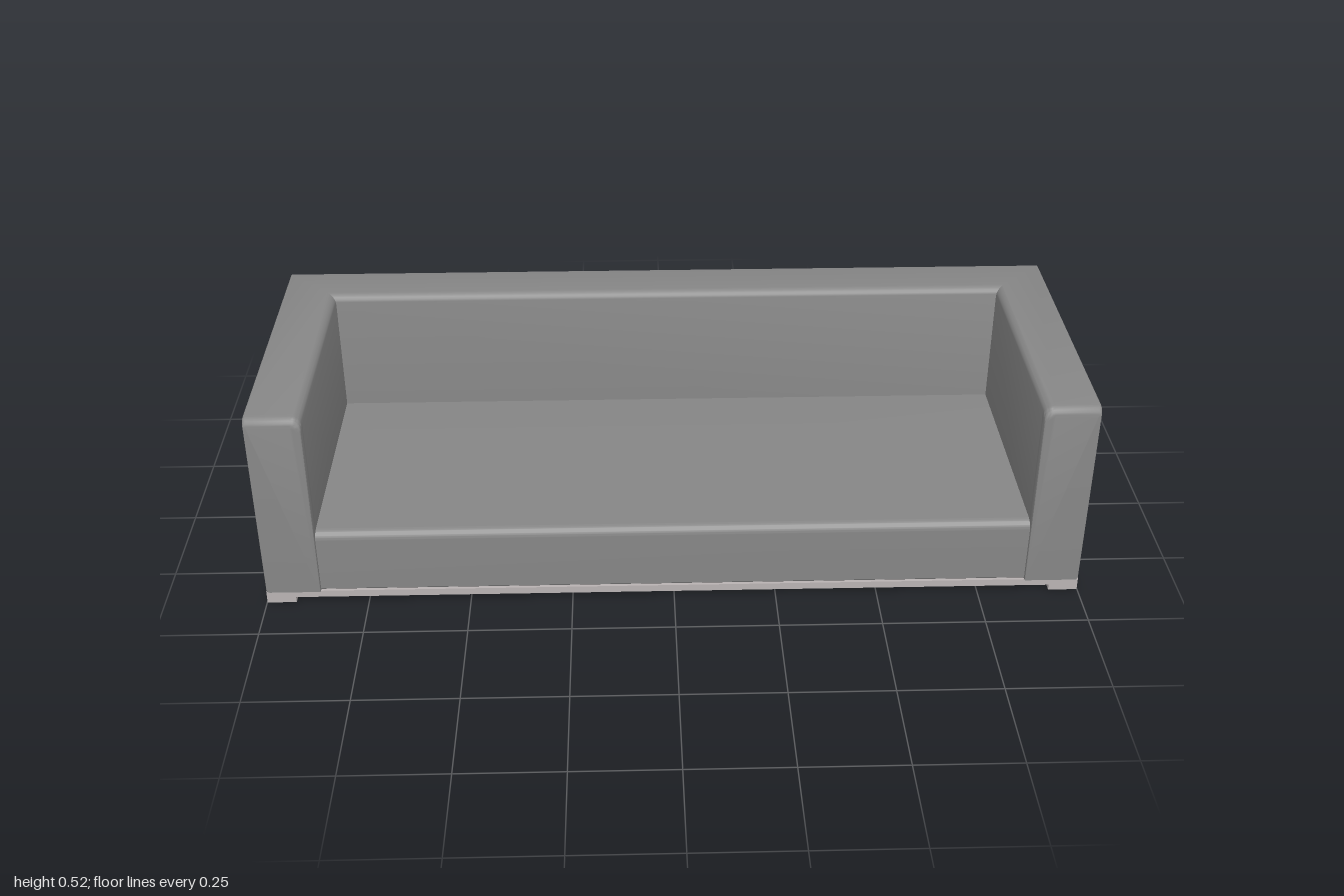
import * as THREE from 'three';
import { toCreasedNormals } from 'three/addons/utils/BufferGeometryUtils.js';

const fabric = new THREE.MeshStandardMaterial({ color: 0x868686 });
const wood = new THREE.MeshStandardMaterial({ color: 0xbab4b4 });
const BOTTOM = 0.031, TOP = 0.524, WIDTH = 0.136;
const HALF_X = 1, BACK_Z = -0.377, FRONT_Z = 0.377;

function add(parent, name, geometry, material, x = 0, y = 0, z = 0) {
  const mesh = new THREE.Mesh(geometry, material);
  mesh.name = name;
  mesh.position.set(x, y, z);
  parent.add(mesh);
}

// Cross-section of the frame: d runs from the inner side (0) to the outer side (WIDTH)
function section(drop, inset) {
  const points = [];
  const top = TOP - drop, outer = WIDTH - inset;
  const arc = (cx, cy, r, from) => {
    for (let i = 0; i <= 6; i++) {
      const a = from - (i / 6) * Math.PI / 2;
      points.push([cx + r * Math.cos(a), cy + r * Math.sin(a)]);
    }
  };
  points.push([inset, BOTTOM]);
  arc(inset + 0.024, top - 0.024, 0.024, Math.PI);
  arc(outer - 0.007, top - 0.007, 0.007, Math.PI / 2);
  arc(outer - 0.007, BOTTOM + 0.007, 0.007, 0);
  return points;
}

// Arms and back as one U-shaped sweep with mitred corners and rounded front ends
function frameGeometry() {
  const half = [];
  const round = 0.024;
  for (let i = 0; i <= 6; i++) {
    const a = (i / 6) * Math.PI / 2;
    const fall = 1 - Math.sin(a);
    const z = FRONT_Z - round * (1 - Math.cos(a));
    half.push(section(round * fall, 0.003 * fall).map(([d, y]) => [HALF_X - WIDTH + d, y, z]));
  }
  half.push(section(0, 0).map(([d, y]) => [HALF_X - WIDTH + d, y, BACK_Z + WIDTH - d]));
  const mirrored = half.map(ring => ring.map(([x, y, z]) => [-x, y, z])).reverse();
  const rings = [...half, ...mirrored];

  const n = rings[0].length, last = (rings.length - 1) * n;
  const index = [];
  for (let s = 0; s < rings.length - 1; s++) {
    for (let i = 0; i < n; i++) {
      const a = s * n + i, b = s * n + (i + 1) % n, c = b + n, d = a + n;
      index.push(a, b, c, a, c, d);
    }
  }
  // Flat front ends of both arms
  for (let i = 1; i < n - 1; i++) {
    index.push(0, i + 1, i, last, last + i, last + i + 1);
  }
  const geometry = new THREE.BufferGeometry();
  geometry.setAttribute('position', new THREE.Float32BufferAttribute(rings.flat(2), 3));
  geometry.setIndex(index);
  return toCreasedNormals(geometry, 0.4);
}

// Seat: side profile with a rounded front edge, extruded across the width
function seatGeometry() {
  const width = 2 * (HALF_X - WIDTH) + 0.004;
  const back = BACK_Z + WIDTH - 0.01, front = 0.371, top = 0.201, r = 0.022;
  const shape = new THREE.Shape();
  shape.moveTo(-back, BOTTOM);
  shape.lineTo(-back, top);
  shape.lineTo(-front + r, top);
  shape.absarc(-front + r, top - r, r, Math.PI / 2, Math.PI, false);
  shape.lineTo(-front, BOTTOM + 0.006);
  shape.lineTo(-front + 0.006, BOTTOM);
  shape.closePath();
  const geometry = new THREE.ExtrudeGeometry(shape, { depth: width, bevelEnabled: false, curveSegments: 8 });
  // Turn the profile so that its -x points to the front
  geometry.translate(0, 0, -width / 2);
  geometry.rotateY(Math.PI / 2);
  return toCreasedNormals(geometry, 0.4);
}

export function createModel() {
  const sofa = new THREE.Group();
  sofa.name = 'sofa';

  add(sofa, 'armsAndBack', frameGeometry(), fabric);
  add(sofa, 'seat', seatGeometry(), fabric);

  // Thin plinth with a square foot under each corner
  add(sofa, 'basePlate', new THREE.BoxGeometry(1.998, 0.018, 0.75), wood, 0, 0.024, 0);
  for (const x of [-1, 1]) {
    for (const z of [-1, 1]) {
      add(sofa, 'foot', new THREE.BoxGeometry(0.071, 0.016, 0.071), wood, x * 0.9635, 0.008, z * 0.3395);
    }
  }
  return sofa;
}
